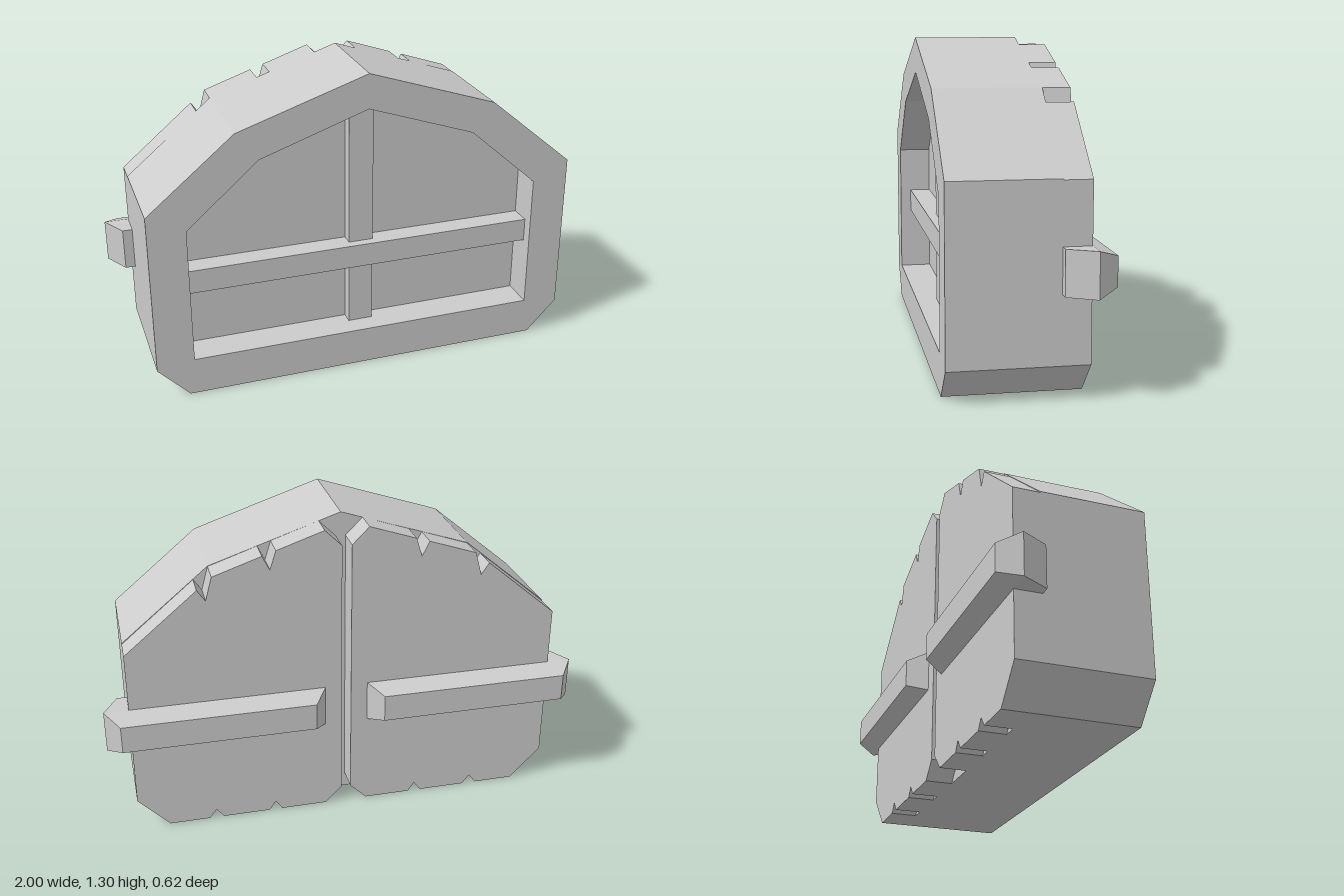
import * as THREE from 'three';

const material = new THREE.MeshStandardMaterial({ color: 0xcccccc, flatShading: true });

// Closed, symmetric outline from the points of its +x half (bottom to top)
function mirrored(half) {
  const left = half.filter(([x]) => x > 0).reverse().map(([x, y]) => [-x, y]);
  return [...half, ...left].map(([x, y]) => new THREE.Vector2(x, y));
}

function add(group, name, geometry) {
  const mesh = new THREE.Mesh(geometry, material);
  mesh.name = name;
  group.add(mesh);
  return mesh;
}

// Flat shape extruded between two z values
function slab(shape, z0, z1) {
  const g = new THREE.ExtrudeGeometry(shape, { depth: z1 - z0, bevelEnabled: false });
  return g.translate(0, 0, z0);
}

// Box between limits
function block(x0, x1, y0, y1, z0, z1) {
  const g = new THREE.BoxGeometry(x1 - x0, y1 - y0, z1 - z0);
  return g.translate((x0 + x1) / 2, (y0 + y1) / 2, (z0 + z1) / 2);
}

// Move every vertex of a geometry by a rule
function reshape(g, rule) {
  const p = g.attributes.position;
  const v = new THREE.Vector3();
  for (let i = 0; i < p.count; i++) {
    rule(v.fromBufferAttribute(p, i));
    p.setXYZ(i, v.x, v.y, v.z);
  }
  g.computeVertexNormals();
  return g;
}

export function createModel() {
  const model = new THREE.Group();
  model.name = 'windowHatch';

  const outer = mirrored([[0.77, 0], [0.9, 0.135], [0.9, 0.82], [0.54, 1.12], [0, 1.3]]);
  const inner = mirrored([[0.745, 0.16], [0.745, 0.74], [0.45, 1.0], [0, 1.155]]);
  const zBack = -0.225, zDoor = -0.115, zPanel = 0.17, zFront = 0.31;

  // Surround with the recessed opening, and the panel behind it
  const ring = new THREE.Shape(outer);
  ring.holes.push(new THREE.Path(inner));
  add(model, 'frame', slab(ring, zPanel, zFront));
  add(model, 'backPanel', slab(new THREE.Shape(outer), zDoor, zPanel));

  // Cross bars inside the opening
  add(model, 'crossRail', block(-0.745, 0.745, 0.44, 0.54, zPanel, 0.262));
  add(model, 'lowerMullion', block(-0.052, 0.052, 0.16, 0.44, zPanel, 0.222));
  const upper = [[-0.052, 0.54], [0.052, 0.54], [0.052, 1.137], [0, 1.155], [-0.052, 1.137]];
  add(model, 'upperMullion',
    slab(new THREE.Shape(upper.map(([x, y]) => new THREE.Vector2(x, y))), zPanel, 0.222));

  // Half of the back boarding: chamfered at the centre gap, nicked along top and bottom
  const board = [
    [0.02, 0.07], [0.09, 0],
    [0.285, 0], [0.312, 0.04], [0.34, 0],
    [0.54, 0], [0.57, 0.04], [0.6, 0],
    [0.77, 0], [0.9, 0.135], [0.9, 0.816],
    [0.6, 1.068], [0.567, 1.02], [0.54, 1.118],
    [0.34, 1.186], [0.31, 1.125], [0.285, 1.204],
    [0.09, 1.27], [0.02, 1.2],
  ];

  for (const [side, s] of [['left', 1], ['right', -1]]) {
    const shape = new THREE.Shape(board.map(([x, y]) => new THREE.Vector2(s * x, y)));
    add(model, side + 'BackBoard', slab(shape, zBack, zDoor));

    // Bevelled bar across the back
    const ends = [0.09 * s, 1.0 * s].sort((a, b) => a - b);
    const bar = reshape(block(ends[0], ends[1], 0.4, 0.575, -0.308, zBack), (v) => {
      if (v.z > -0.3) return;
      v.x = s * (Math.abs(v.x) > 0.5 ? 0.94 : 0.145);
      v.y = v.y > 0.5 ? 0.545 : 0.43;
    });
    add(model, side + 'BackBar', bar);

    // Bar end hooking round the side of the frame
    const hookX = [0.9 * s, 1.0 * s].sort((a, b) => a - b);
    const hook = reshape(block(hookX[0], hookX[1], 0.4, 0.575, zBack, zDoor), (v) => {
      if (v.z > -0.15 && Math.abs(v.x) > 0.95) v.x = 0.94 * s;
    });
    add(model, side + 'BarHook', hook);
  }

  return model;
}
